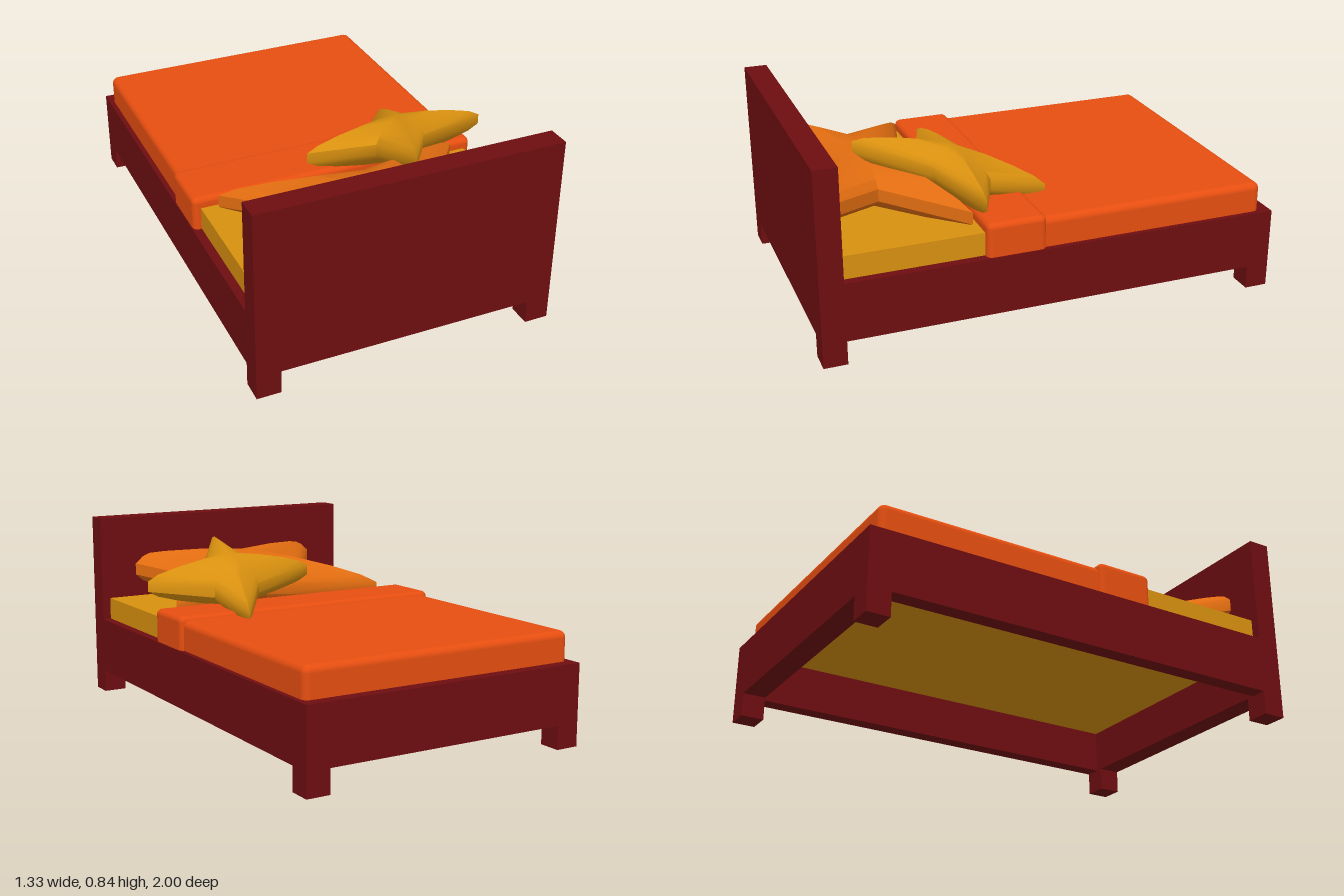
import * as THREE from 'three';
import { toCreasedNormals } from 'three/addons/utils/BufferGeometryUtils.js';
import { RoundedBoxGeometry } from 'three/addons/geometries/RoundedBoxGeometry.js';

function material(name, color) {
  const m = new THREE.MeshStandardMaterial({ color });
  m.name = name;
  return m;
}

// Puffed star cushion: outline rings shrink towards the centre while swelling up and down.
// Outline points are [x, z], clockwise from above; height(z) gives the tilted mid plane.
function starGeometry(outline, [cx, cz], height, edge, swell) {
  const half = [[1, 0], [0.88, 0.3], [0.65, 0.6], [0.35, 0.88], [0, 1]];
  const level = t => edge + (swell - edge) * t;
  const rings = [
    ...half.map(([s, t]) => [s, -level(t)]).reverse(),
    ...half.map(([s, t]) => [s, level(t)]),
  ];
  const n = outline.length;
  const positions = [];
  const index = [];
  for (const [s, h] of rings) {
    for (const [px, pz] of outline) {
      const x = cx + (px - cx) * s;
      const z = cz + (pz - cz) * s;
      positions.push(x, height(z) + h, z);
    }
  }
  for (let k = 0; k < rings.length - 1; k++) {
    for (let i = 0; i < n; i++) {
      const j = (i + 1) % n;
      const a = k * n + i, b = k * n + j, c = b + n, d = a + n;
      if (rings[k][0] > 0) index.push(b, a, d);
      if (rings[k + 1][0] > 0) index.push(b, d, c);
    }
  }
  const g = new THREE.BufferGeometry();
  g.setAttribute('position', new THREE.Float32BufferAttribute(positions, 3));
  g.setIndex(index);
  return toCreasedNormals(g, 0.7);
}

export function createModel() {
  const bed = new THREE.Group();
  bed.name = 'bed';
  const wood = material('dark red wood', 0x6e0e10);
  const gold = material('gold fabric', 0xd8900f);
  const red = material('red orange blanket', 0xe64e10);
  const orange = material('orange fabric', 0xe06c10);

  const add = (name, geometry, mat) => {
    const mesh = new THREE.Mesh(geometry, mat);
    mesh.name = name;
    bed.add(mesh);
    return mesh;
  };
  // Boxes are given by their limits; a radius rounds the edges
  const box = (name, mat, [x0, x1], [y0, y1], [z0, z1], radius = 0) => {
    const size = [x1 - x0, y1 - y0, z1 - z0];
    const g = radius
      ? new RoundedBoxGeometry(...size, 4, radius)
      : new THREE.BoxGeometry(...size);
    add(name, g, mat).position.set((x0 + x1) / 2, (y0 + y1) / 2, (z0 + z1) / 2);
  };

  // Frame
  const L = -0.668, R = 0.64, rail = 0.07;
  box('headboard', wood, [L, R], [0.103, 0.842], [0.9, 1]);
  box('footRail', wood, [L, R], [0.103, 0.356], [-1, -0.9]);
  for (const [side, x0] of [['right', L], ['left', R - rail]]) {
    box(side + 'Rail', wood, [x0, x0 + rail], [0.103, 0.356], [-0.9, 0.9]);
  }
  for (const x of [L, R - 0.104]) {
    for (const z of [-1, 0.9]) {
      box('leg', wood, [x, x + 0.104], [0, 0.103], [z, z + 0.1]);
    }
  }

  // Bedding
  box('mattress', gold, [-0.63, 0.602], [0.3, 0.456], [-0.92, 0.9]);
  box('blanket', red, [-0.646, 0.618], [0.31, 0.485], [-0.95, 0.1], 0.03);
  box('blanketFold', red, [-0.664, 0.634], [0.31, 0.502], [0.05, 0.307], 0.025);

  // Large four pointed pillow leaning on the headboard
  add('starPillow', starGeometry(
    [[-0.02, 0.465], [0.52, 0.33], [0.285, 0.655], [0.52, 0.975],
      [-0.02, 0.84], [-0.56, 0.975], [-0.315, 0.655], [-0.56, 0.33]],
    [-0.02, 0.655], z => 0.487 + 0.175 * (z - 0.33), 0.027, 0.13), orange);

  // Small four pointed cushion lying across pillow and fold
  add('starCushion', starGeometry(
    [[0.355, -0.055], [0.39, 0.205], [0.66, 0.32], [0.33, 0.435],
      [0.14, 0.72], [0.105, 0.435], [-0.17, 0.345], [0.165, 0.21]],
    [0.25, 0.325], z => 0.49 + 0.29 * (z + 0.055), 0.023, 0.11), gold);

  return bed;
}
